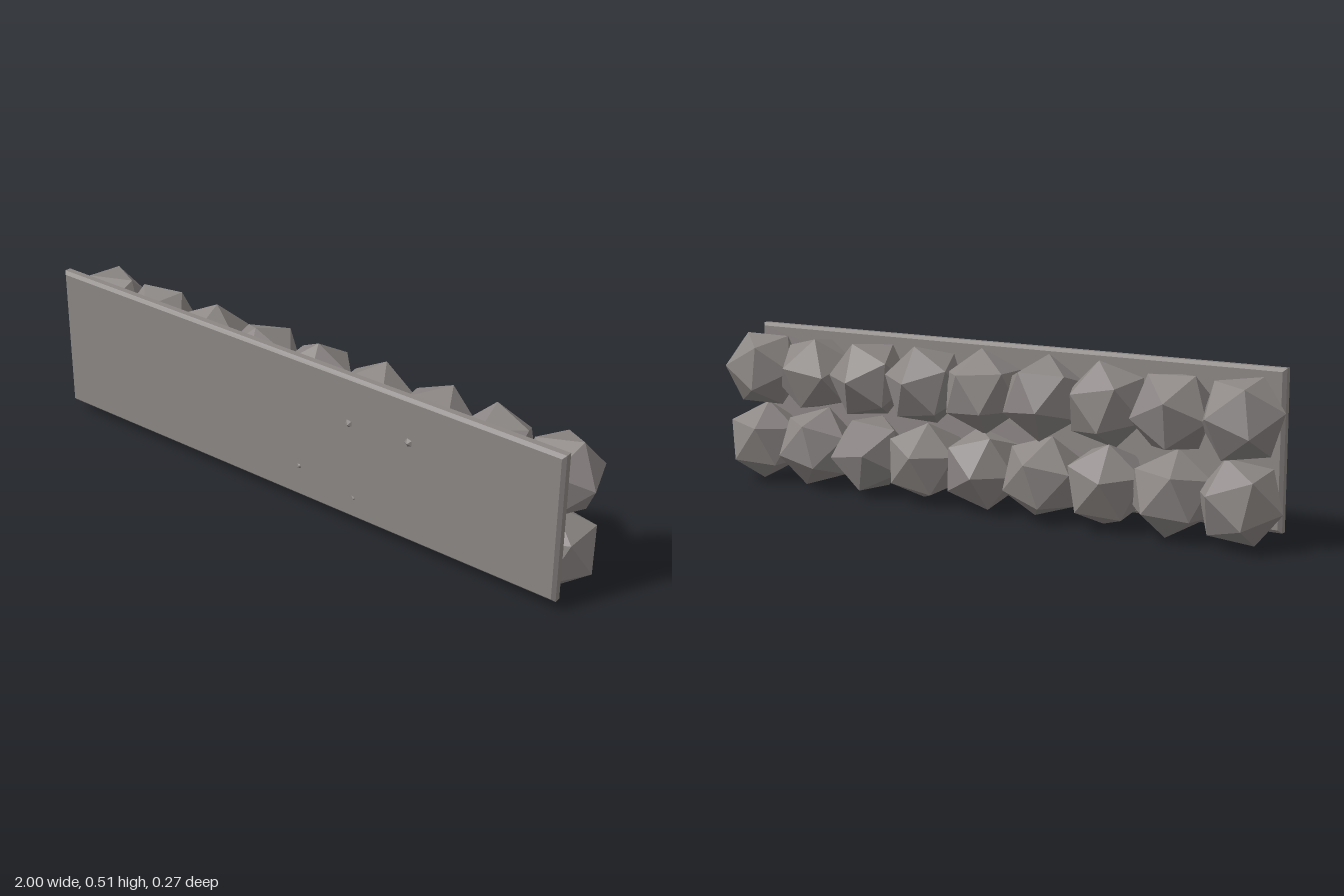
import * as THREE from 'three';

const V = (x, y, z) => new THREE.Vector3(x, y, z);

// Orthonormal frame whose z axis is a and whose x axis leans towards b
function frame(a, b) {
  const z = a.clone().normalize();
  const y = new THREE.Vector3().crossVectors(z, b).normalize();
  const x = new THREE.Vector3().crossVectors(y, z);
  return new THREE.Matrix4().makeBasis(x, y, z);
}

// Turns an icosahedron so one corner points along aim and a neighbouring corner leans to hint
const PHI = (1 + Math.sqrt(5)) / 2;
const cornerFrame = frame(V(0, 1, PHI), V(0, -1, PHI)).invert();
function turn(aim, hint) {
  return new THREE.Quaternion().setFromRotationMatrix(frame(V(...aim), V(...hint)).multiply(cornerFrame));
}

// Nine stones per row: direction of one corner, then of its neighbour
const upperRow = [
  [[-0.97, 0.2, 0], [-0.45, -0.08, 0.9]],
  [[-0.2, 0.3, -0.9], [0.6, 0.8, 0]],
  [[0.5, 0.3, -0.85], [0, 1, 0.2]],
  [[-0.3, -0.2, -0.9], [0.5, 0.8, 0]],
  [[0.2, 0.45, -0.85], [-0.9, 0.3, 0]],
  [[0.1, 0.9, -0.3], [1, 0, -0.4]],
  [[0, -0.03, 1], [0.7, 0.6, 0]],
  [[0.3, 0.2, -0.9], [-0.4, 0.9, 0]],
  [[0.97, 0, 0.22], [0, 1, -0.2]],
];
const lowerRow = [
  [[-0.97, -0.15, 0], [-0.3, -0.9, 0.1]],
  [[0.1, -1, -0.1], [0.3, 0, -1]],
  [[-0.3, 0.2, -0.9], [0.8, 0.3, 0]],
  [[0, -0.4, 0.92], [0.3, 0.9, 0.2]],
  [[-0.3, -0.85, -0.3], [-0.2, 0.1, -1]],
  [[0.2, -0.9, 0.2], [0.5, 0, -0.9]],
  [[-0.4, 0.1, -0.9], [0.2, -0.9, 0]],
  [[0.2, -0.92, -0.2], [-0.6, 0, -0.8]],
  [[0.94, -0.36, 0], [0, -1, 0]],
];

export function createModel() {
  const model = new THREE.Group();
  const stoneGrey = new THREE.MeshStandardMaterial({ color: 0x8c8785 });
  stoneGrey.name = 'stone grey';

  // Flat front slab with chamfered edges
  const bevel = 0.01, w = 0.945, h = 0.23;
  const outline = new THREE.Shape([[-w, -h], [w, -h], [w, h], [-w, h]].map(p => new THREE.Vector2(...p)));
  const slab = new THREE.Mesh(new THREE.ExtrudeGeometry(outline, {
    depth: 0.02, bevelEnabled: true, bevelSegments: 1, bevelSize: bevel, bevelThickness: bevel,
  }), stoneGrey);
  slab.name = 'frontSlab';
  slab.position.set(-0.005, 0.275, 0.095);
  model.add(slab);

  // Two rows of faceted stones behind the slab
  const stone = new THREE.IcosahedronGeometry(0.134, 0);
  function addRow(name, row, y) {
    const group = new THREE.Group();
    group.name = name;
    row.forEach(([aim, hint], i) => {
      const mesh = new THREE.Mesh(stone, stoneGrey);
      mesh.name = 'stone' + (i + 1);
      mesh.position.set(-0.87 + i * 0.2175, y, 0);
      mesh.quaternion.copy(turn(aim, hint));
      group.add(mesh);
    });
    model.add(group);
  }
  addRow('upperStones', upperRow, 0.376);
  addRow('lowerStones', lowerRow, 0.134);
  return model;
}
